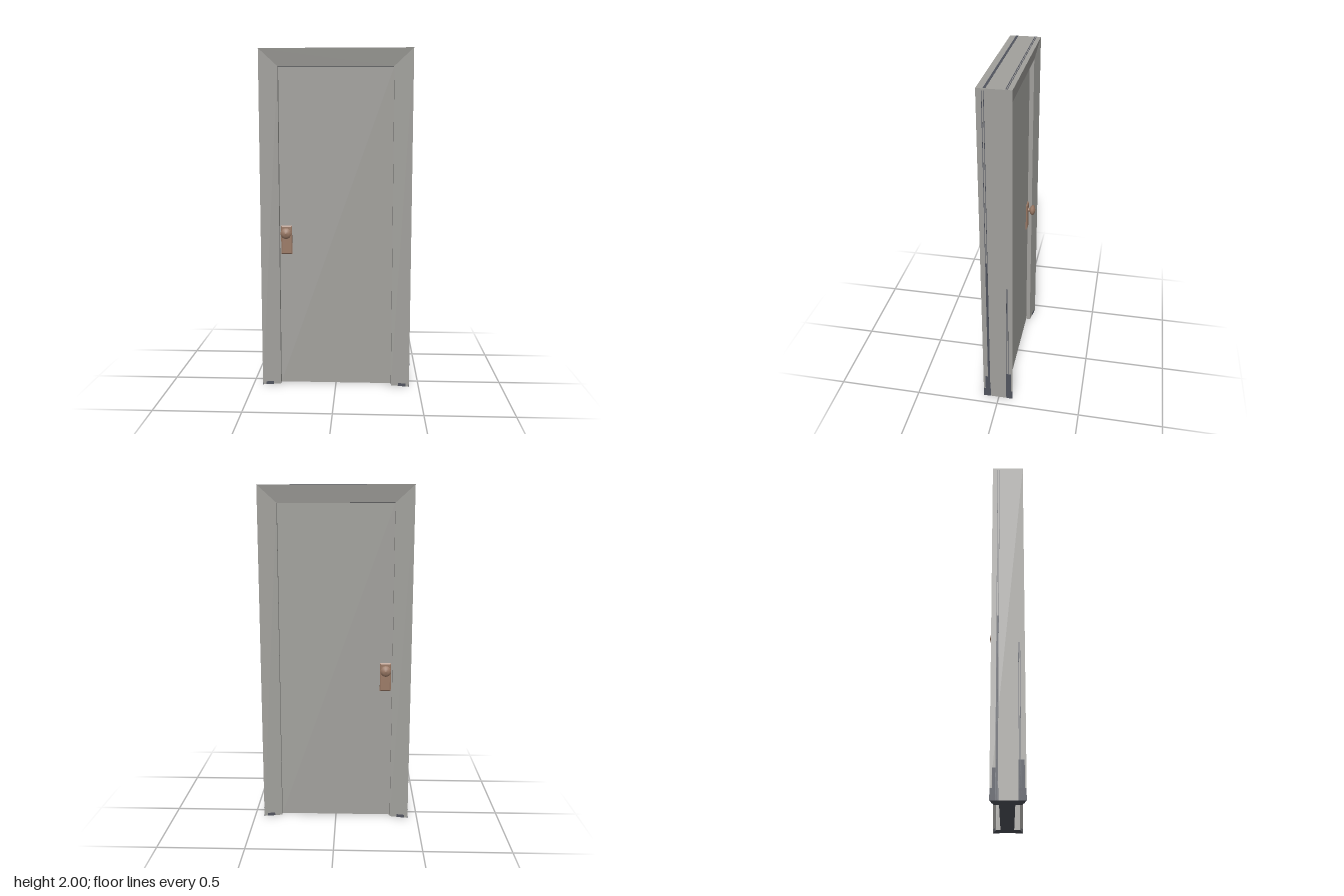
import * as THREE from 'three';

const W = 0.443, H = 2;              // outer half width and height of the frame
const IW = 0.335, IH = 1.9;          // opening half width and height
const FRONT = 0.094, BACK = -0.086;  // frame faces
const MID = (FRONT + BACK) / 2;
const BEVEL = 0.02;                  // how far the casing slopes in toward the opening
const DOOR = 0.04;                   // half thickness of the door
const THIN = 0.002;                  // thickness of painted marks

const material = (name, color) => {
  const m = new THREE.MeshStandardMaterial({ color });
  m.name = name;
  return m;
};
const grey = material('grey paint', 0xa1a09c);
const dark = material('dark grime', 0x51545e);
const bronze = material('bronze', 0x9b7a66);

function part(name, geometry, mat) {
  const mesh = new THREE.Mesh(geometry, mat);
  mesh.name = name;
  return mesh;
}

// Mitred casing: one four-sided section swept up, across and down.
// Material 0 is paint, material 1 covers the undersides.
function frameGeometry() {
  const section = (sx, top) => {
    const outer = [sx * W, top ? H : 0], inner = [sx * IW, top ? IH : 0];
    return [[...outer, FRONT], [...inner, FRONT - BEVEL], [...inner, BACK + BEVEL], [...outer, BACK]];
  };
  const rings = [section(-1, false), section(-1, true), section(1, true), section(1, false)];
  const g = new THREE.BufferGeometry();
  const pos = [];
  const quad = (mat, a, b, c, d) => {
    g.addGroup(pos.length / 3, 6, mat);
    pos.push(...a, ...b, ...c, ...a, ...c, ...d);
  };
  for (let i = 0; i < 3; i++) {
    for (let k = 0; k < 4; k++) {
      const n = (k + 1) % 4;
      const underside = i === 1 && k === 1;
      quad(underside ? 1 : 0, rings[i][k], rings[i][n], rings[i + 1][n], rings[i + 1][k]);
    }
  }
  quad(1, ...[...rings[0]].reverse());
  quad(1, ...rings[3]);
  g.setAttribute('position', new THREE.Float32BufferAttribute(pos, 3));
  g.computeVertexNormals();
  return g;
}

// Handle set pointing along +z from the door face
function handle(name) {
  const group = new THREE.Group();
  group.name = name;

  // Back plate with a chamfered rim
  const w = 0.026, h = 0.079;
  const outline = new THREE.Shape([[-w, -h], [w, -h], [w, h], [-w, h]].map(([x, y]) => new THREE.Vector2(x, y)));
  const plate = part('plate', new THREE.ExtrudeGeometry(outline, {
    depth: 0.004, bevelEnabled: true, bevelSize: 0.007, bevelThickness: 0.005, bevelSegments: 1,
  }), bronze);
  plate.position.y = 0.886;

  // Round knob on a narrow neck
  const profile = [[0.015, 0], [0.011, 0.016], [0.013, 0.02], [0.026, 0.027], [0.032, 0.036],
    [0.032, 0.044], [0.018, 0.052], [0, 0.056]].map(([r, y]) => new THREE.Vector2(r, y));
  const knob = part('knob', new THREE.LatheGeometry(profile, 16), bronze);
  knob.rotation.x = Math.PI / 2;
  knob.position.y = 0.93;

  group.add(plate, knob);
  return group;
}

// Dark marks on the outer side of one jamb: [z from, z to, y top]
function sideMarks(name) {
  const group = new THREE.Group();
  group.name = name;
  const marks = [[0.063, 0.066, 1.99], [0.053, 0.056, 1.99], [0.056, 0.063, 1.0], [0.05, FRONT, 0.06],
    [0.066, 0.082, 0.16], [-0.061, -0.058, 0.84], [-0.053, -0.05, 0.84], [BACK, -0.047, 0.06], [-0.078, -0.047, 0.2]];
  for (const [z0, z1, top] of marks) {
    const mark = part('sideMark', new THREE.BoxGeometry(THIN, top, z1 - z0), dark);
    mark.position.set(W, top / 2, (z0 + z1) / 2 - MID);
    group.add(mark);
  }
  group.position.z = MID;
  return group;
}

export function createModel() {
  const model = new THREE.Group();
  model.name = 'door';

  model.add(part('frame', frameGeometry(), [grey, dark]));

  // Door leaf with a dark bottom edge
  const panel = part('doorPanel', new THREE.BoxGeometry(IW * 2, IH, DOOR * 2), [grey, grey, grey, dark, grey, grey]);
  panel.position.y = IH / 2;
  model.add(panel);

  // Dark lines along the top of the frame: [z from, z to]
  for (const [z0, z1] of [[0.046, 0.059], [-0.061, -0.058], [-0.054, -0.05]]) {
    const line = part('topLine', new THREE.BoxGeometry(W * 1.98, THIN, z1 - z0), dark);
    line.position.set(0, H, (z0 + z1) / 2);
    model.add(line);
  }

  // Marks on the two outer sides, turned half round from each other
  const leftMarks = sideMarks('leftMarks'), rightMarks = sideMarks('rightMarks');
  rightMarks.rotation.y = Math.PI;
  model.add(leftMarks, rightMarks);

  for (const side of [1, -1]) {
    // One handle on each face
    const set = handle(side > 0 ? 'frontHandle' : 'backHandle');
    set.position.set(-0.295, 0, side * DOOR);
    if (side < 0) set.rotation.y = Math.PI;
    model.add(set);

    // Scuffs at the feet of the sloping casing
    for (const sx of [1, -1]) {
      const scuff = part('footScuff', new THREE.BoxGeometry(0.045, 0.018, THIN), dark);
      const x = 0.4, slope = BEVEL / (W - IW);
      scuff.position.set(sx * x, 0.009, MID + side * ((FRONT - BACK) / 2 - (W - x) * slope));
      scuff.rotation.y = -sx * side * Math.atan(slope);
      model.add(scuff);
    }
  }
  return model;
}
